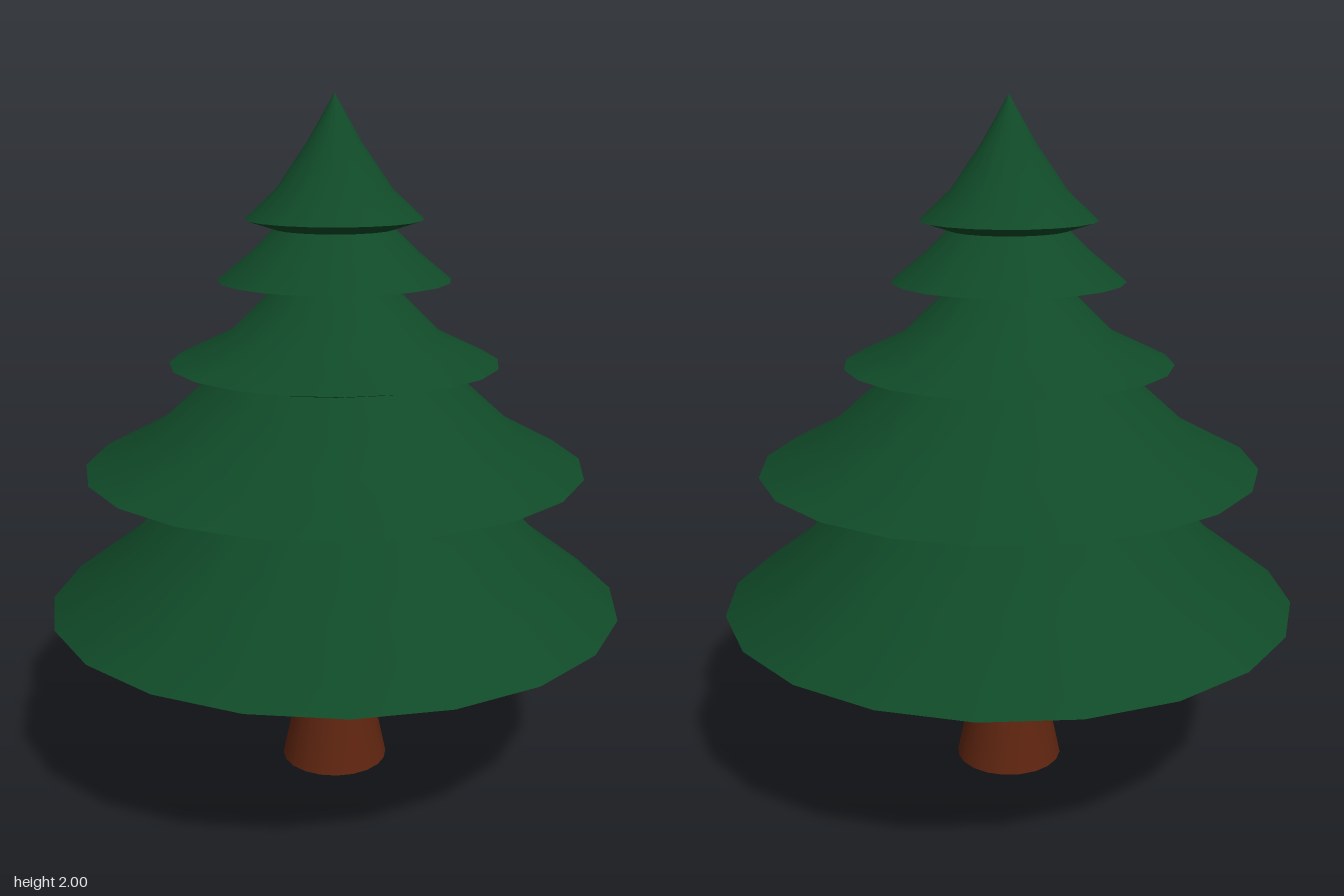
import * as THREE from 'three';

const SIDES = 20;

export function createModel() {
  const group = new THREE.Group();
  group.name = 'pineTree';
  const needles = new THREE.MeshStandardMaterial({ color: 0x104a28 });
  needles.name = 'needle green';
  const bark = new THREE.MeshStandardMaterial({ color: 0x5f2510 });
  bark.name = 'bark brown';

  // Turned surface; profile points are [radius, height], running outward then upward
  const turn = (name, material, profile, parent) => {
    const points = profile.map(([r, y]) => new THREE.Vector2(r, y));
    const mesh = new THREE.Mesh(new THREE.LatheGeometry(points, SIDES), material);
    mesh.name = name;
    parent.add(mesh);
  };

  // Flared trunk with a flat foot
  const trunk = new THREE.Group();
  trunk.name = 'trunk';
  turn('trunkSide', bark, [[0.16, 0], [0.124, 0.17], [0.111, 0.3], [0.118, 0.47]], trunk);
  turn('trunkFoot', bark, [[0, 0], [0.16, 0]], trunk);
  group.add(trunk);

  // Branch tiers from bottom to top: inner end of the underside, then the rim and slope
  const tiers = [
    { under: [0, 0.45], slope: [[0.845, 0.53], [0.62, 0.7], [0.435, 0.91]] },
    { under: [0.43, 0.908], slope: [[0.73, 0.943], [0.53, 1.05], [0.345, 1.217]] },
    { under: [0.34, 1.214], slope: [[0.478, 1.247], [0.307, 1.33], [0.17, 1.466]] },
    { under: [0.165, 1.462], slope: [[0.335, 1.484], [0.24, 1.562], [0.17, 1.63]] },
    { under: [0.165, 1.626], slope: [[0.254, 1.655], [0.164, 1.74], [0.075, 1.87], [0, 2]] },
  ];
  tiers.forEach(({ under, slope }, i) => {
    const tier = new THREE.Group();
    tier.name = `branchTier${i + 1}`;
    turn('tierSlope', needles, slope, tier);
    turn('tierUnderside', needles, [under, slope[0]], tier);
    group.add(tier);
  });

  return group;
}
